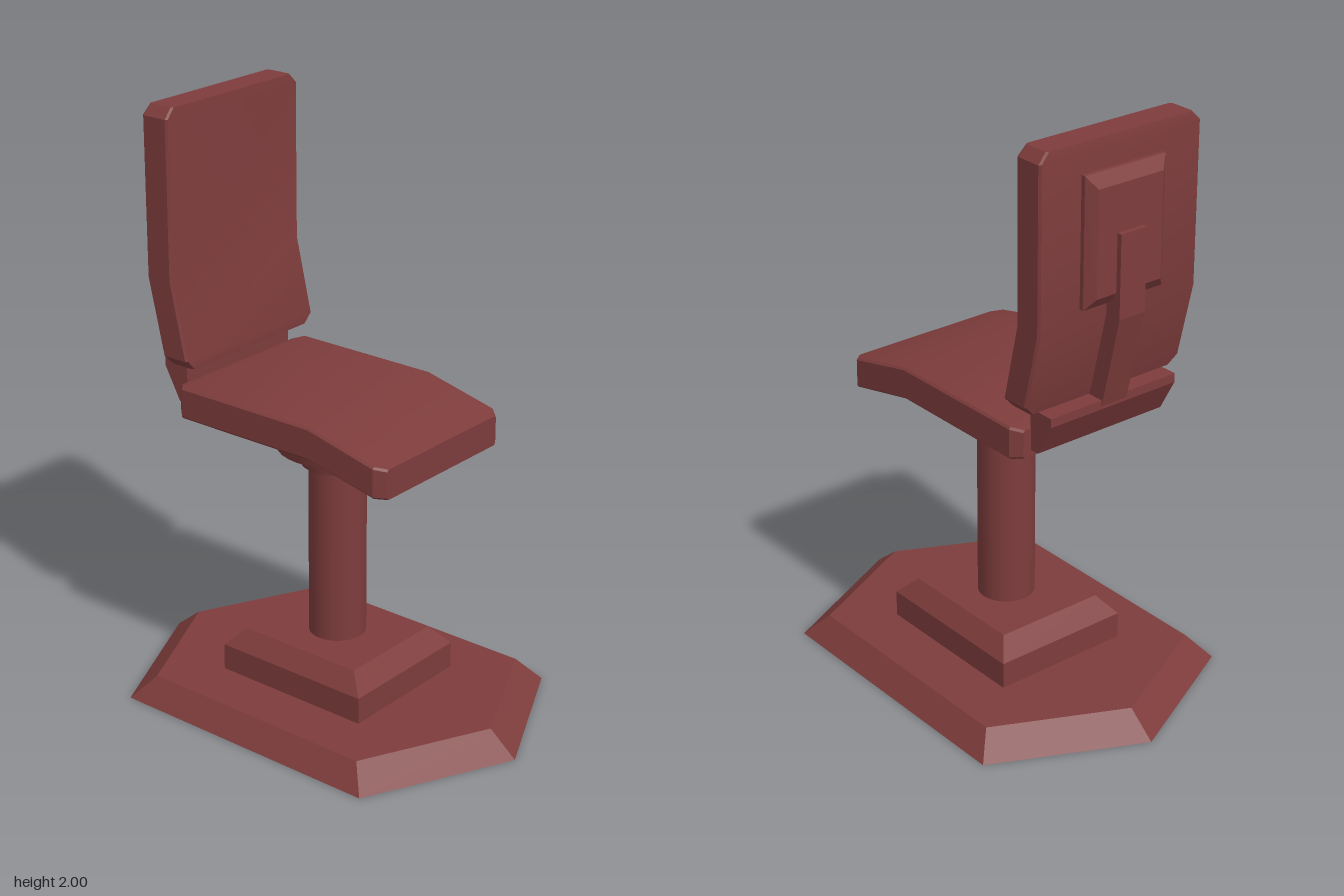
import * as THREE from 'three';
import { toCreasedNormals } from 'three/addons/utils/BufferGeometryUtils.js';

const material = new THREE.MeshStandardMaterial({ color: 0x7e3c3c });
const shell = new THREE.MeshStandardMaterial({ color: 0x7e3c3c, side: THREE.DoubleSide });
const V = (x, y, z) => new THREE.Vector3(x, y, z);

// Skin over loops that run counter-clockwise about the direction of travel;
// gentle bends are smooth, sharper edges stay crisp
function loft(loops, closedStart = true) {
  const points = [];
  const n = loops[0].length;
  for (let i = 0; i < loops.length - 1; i++) {
    for (let j = 0; j < n; j++) {
      const k = (j + 1) % n;
      const a = loops[i][j], b = loops[i][k], c = loops[i + 1][k], d = loops[i + 1][j];
      points.push(a, b, c, a, c, d);
    }
  }
  const first = loops[0], last = loops[loops.length - 1];
  for (let j = 1; j < n - 1; j++) {
    if (closedStart) points.push(first[0], first[j + 1], first[j]);
    points.push(last[0], last[j], last[j + 1]);
  }
  return toCreasedNormals(new THREE.BufferGeometry().setFromPoints(points), 0.5);
}

// Bevelled cushion: sections of [position, lower face, upper face, half width]
function cushion(sections, place) {
  const b = 0.007;
  return loft(sections.map(([t, lo, hi, w]) => [
    [lo, b - w], [lo + b, -w], [hi - b, -w], [hi, b - w],
    [hi, w - b], [hi - b, w], [lo + b, w], [lo, w - b],
  ].map(([d, s]) => place(t, d, s))));
}

// Side outline given thickness across z
function sideProfile(outline, width) {
  const shape = new THREE.Shape(outline.map(([x, y]) => new THREE.Vector2(x, y)));
  return new THREE.ExtrudeGeometry(shape, { depth: width, bevelEnabled: false }).translate(0, 0, -width / 2);
}

const hexagon = (tip, x, z, y) => [[tip, 0], [x, -z], [-x, -z], [-tip, 0], [-x, z], [x, z]]
  .map(([px, pz]) => V(px, y, pz));
const rectangle = (x, z, y) => [[x, z], [x, -z], [-x, -z], [-x, z]].map(([px, pz]) => V(px, y, pz));
const plate = (x, z, y0, y1) => [[-z, y0], [z, y0], [z, y1], [-z, y1]].map(([pz, py]) => V(x, py, pz));

export function createModel() {
  const chair = new THREE.Group();
  chair.name = 'chair';
  const add = (name, geometry, mat = material) => {
    const mesh = new THREE.Mesh(geometry, mat);
    mesh.name = name;
    chair.add(mesh);
  };
  const round = (name, top, bottom, y0, y1) =>
    add(name, new THREE.CylinderGeometry(top, bottom, y1 - y0, 32).translate(0, (y0 + y1) / 2, 0));

  // Hollow foot, open underneath, and the pedestal on it
  add('floorPlate', loft([hexagon(0.735, 0.495, 0.495, 0), hexagon(0.637, 0.43, 0.43, 0.079)], false), shell);
  add('pedestal', loft([
    rectangle(0.29, 0.247, 0.079), rectangle(0.29, 0.247, 0.17), rectangle(0.23, 0.197, 0.231),
  ], false));

  // Column and the round mount under the seat
  round('column', 0.096, 0.096, 0.231, 0.84);
  round('collar', 0.132, 0.12, 0.84, 0.9);
  round('seatMount', 0.222, 0.2, 0.9, 0.985);

  // Seat, bent down towards the front edge
  add('seat', cushion([
    [-0.427, 0.988, 1.083, 0.28], [-0.395, 0.983, 1.092, 0.31], [0.135, 0.983, 1.092, 0.31],
    [0.392, 0.926, 1.032, 0.31], [0.425, 0.921, 1.022, 0.28],
  ], (t, d, s) => V(t, d, s)));

  // Backrest, bent forward at its lower end
  add('backrest', cushion([
    [1.151, -0.462, -0.37, 0.28], [1.184, -0.472, -0.368, 0.31], [1.44, -0.532, -0.427, 0.31],
    [1.968, -0.532, -0.427, 0.31], [2, -0.527, -0.43, 0.28],
  ], (t, d, s) => V(d, t, -s)));

  // Support behind the backrest
  add('backPlate', loft([
    plate(-0.53, 0.155, 1.485, 1.905), plate(-0.547, 0.155, 1.485, 1.905), plate(-0.574, 0.125, 1.522, 1.865),
  ]));
  add('backStem', sideProfile([
    [-0.52, 1.13], [-0.44, 1.13], [-0.46, 1.2], [-0.525, 1.45], [-0.525, 1.713], [-0.591, 1.713], [-0.591, 1.44],
  ], 0.1));
  add('hingeBar', sideProfile([
    [-0.52, 1.15], [-0.52, 1.12], [-0.46, 1.01], [-0.425, 1.01], [-0.425, 1.15],
  ], 0.5));

  return chair;
}
